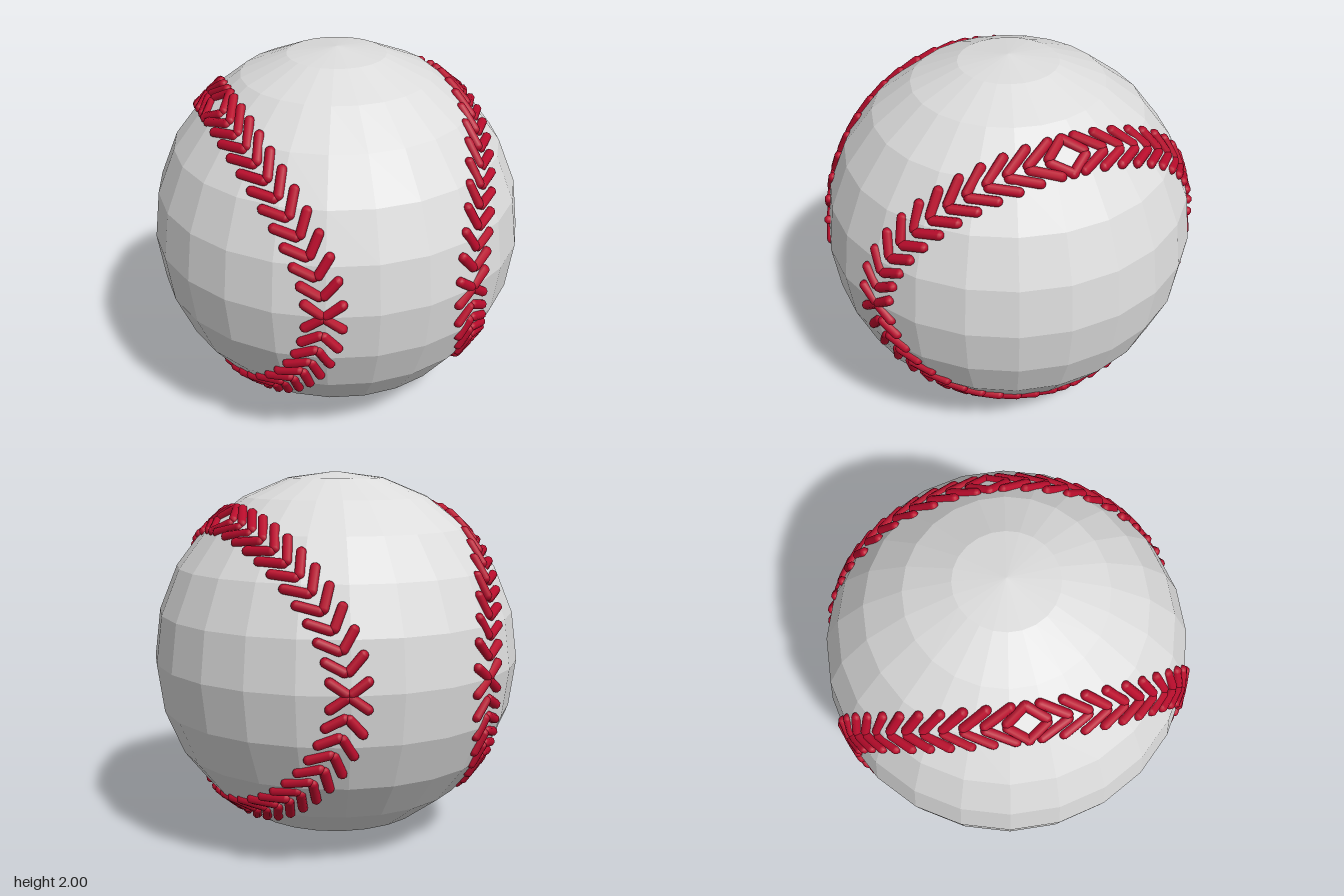
import * as THREE from 'three';

const white = new THREE.MeshStandardMaterial({ color: 0xdcdcdc });
white.name = 'white leather';
white.flatShading = true;
const red = new THREE.MeshStandardMaterial({ color: 0xba0c2c });
red.name = 'red thread';

// Seam on the +x side of the unit ball: an ellipse in y and z, pushed out to the surface.
function seamPoint(t) {
  const y = 0.765 * Math.sin(t);
  const z = 0.92 * Math.cos(t);
  return new THREE.Vector3(Math.sqrt(1 - y * y - z * z), y, z);
}

// One rounded thread between two points.
function thread(a, b, radius) {
  const dir = b.clone().sub(a);
  const geo = new THREE.CapsuleGeometry(radius, dir.length(), 4, 8);
  const mesh = new THREE.Mesh(geo, red);
  mesh.position.copy(a).add(b).multiplyScalar(0.5);
  mesh.quaternion.setFromUnitVectors(new THREE.Vector3(0, 1, 0), dir.normalize());
  mesh.name = 'stitch';
  return mesh;
}

// A quarter of a seam: V stitches that open towards the top or bottom of the ball.
function addQuarter(seam, signY, signZ) {
  const count = 13;
  const place = (v, r) => v.setLength(r).multiply(new THREE.Vector3(1, signY, signZ));

  // Find evenly spaced positions by arc length.
  const samples = [];
  for (let i = 0; i <= 60; i++) samples.push(seamPoint((i / 60) * Math.PI / 2));
  const curve = new THREE.CatmullRomCurve3(samples);
  const length = curve.getLength();

  for (let i = 0; i < count; i++) {
    const u = (i + 0.1) / count;
    const p = curve.getPointAt(u);
    const along = curve.getTangentAt(u);
    const side = new THREE.Vector3().crossVectors(p, along).normalize();
    // Stitches lie flatter across the seam at the front and back.
    const reach = Math.min(0.055 + 0.09 * u, length * (1 - u));
    for (const s of [-1, 1]) {
      const apex = p.clone().addScaledVector(side, s * 0.012);
      const tip = p.clone().addScaledVector(along, reach).addScaledVector(side, s * 0.09);
      seam.add(thread(place(apex, 0.99), place(tip, 0.993), 0.026));
    }
  }
}

export function createModel() {
  const ball = new THREE.Group();
  ball.name = 'ball';

  // Faceted cover
  const cover = new THREE.Mesh(new THREE.SphereGeometry(1, 24, 12), white);
  cover.rotation.y = Math.PI / 24;
  cover.name = 'cover';
  ball.add(cover);

  // Two seams, one facing each side
  for (const [name, turn] of [['leftSeam', 0], ['rightSeam', Math.PI]]) {
    const seam = new THREE.Group();
    seam.name = name;
    for (const sy of [-1, 1]) for (const sz of [-1, 1]) addQuarter(seam, sy, sz);
    seam.rotation.y = turn;
    ball.add(seam);
  }

  ball.position.y = 1;
  const model = new THREE.Group();
  model.name = 'stitchedBall';
  model.add(ball);
  return model;
}
